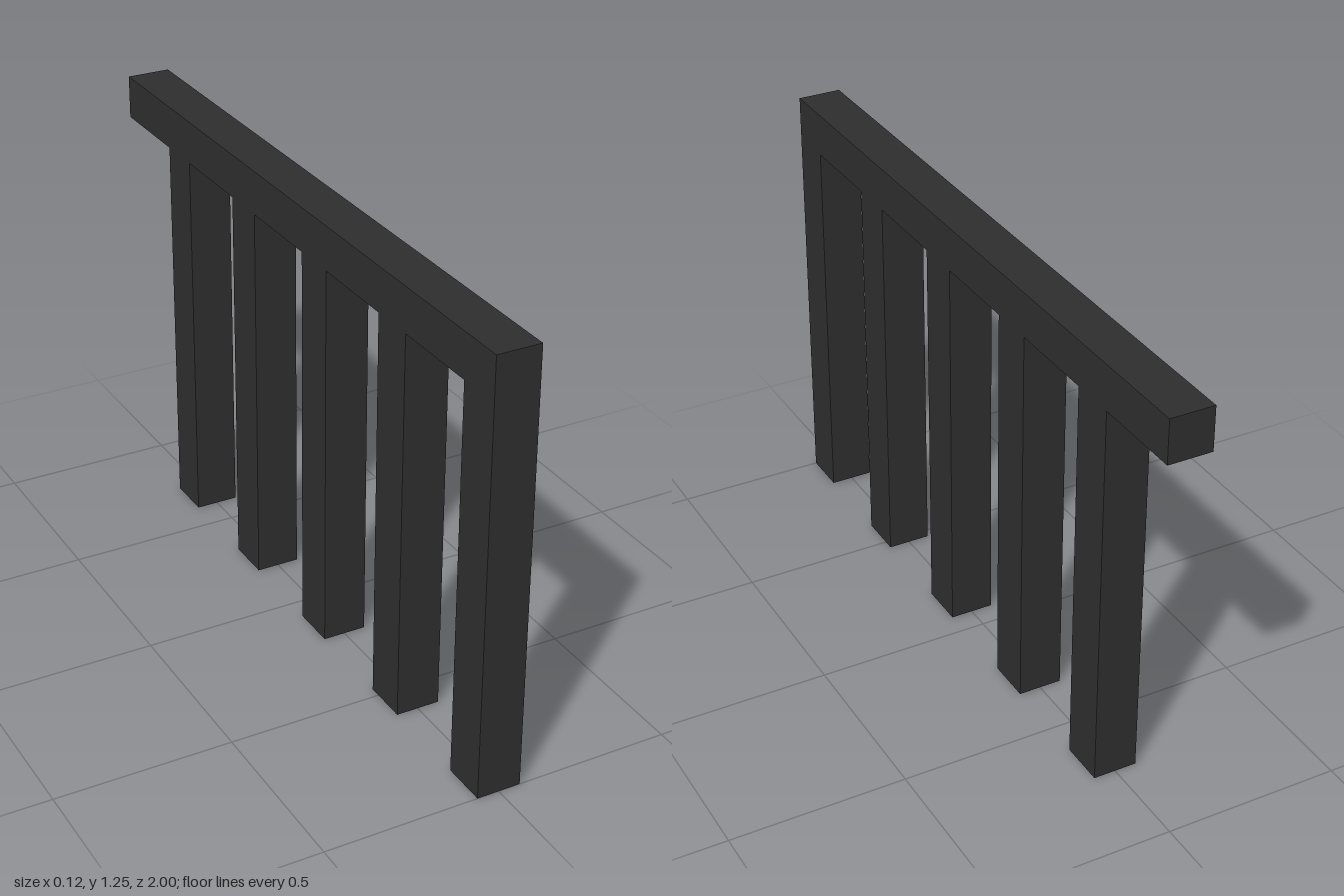
import * as THREE from 'three';

export function createModel() {
  const group = new THREE.Group();
  group.name = 'railing';
  const darkMetal = new THREE.MeshStandardMaterial({ color: 0x2e2e2e });
  darkMetal.name = 'dark metal';

  const width = 0.125, height = 1.25, length = 2;
  const railHeight = 0.125, postDepth = 0.131, spacing = 0.4;
  const postHeight = height - railHeight;

  const addBox = (name, h, d, y, z) => {
    const mesh = new THREE.Mesh(new THREE.BoxGeometry(width, h, d), darkMetal);
    mesh.name = name;
    mesh.position.set(0, y, z);
    group.add(mesh);
  };

  // Top rail, running front to back
  addBox('topRail', railHeight, length, height - railHeight / 2, 0);

  // Five posts, the first flush with the front end of the rail
  for (let i = 0; i < 5; i++) {
    const z = length / 2 - postDepth / 2 - i * spacing;
    addBox(`post${i + 1}`, postHeight, postDepth, postHeight / 2, z);
  }

  return group;
}
